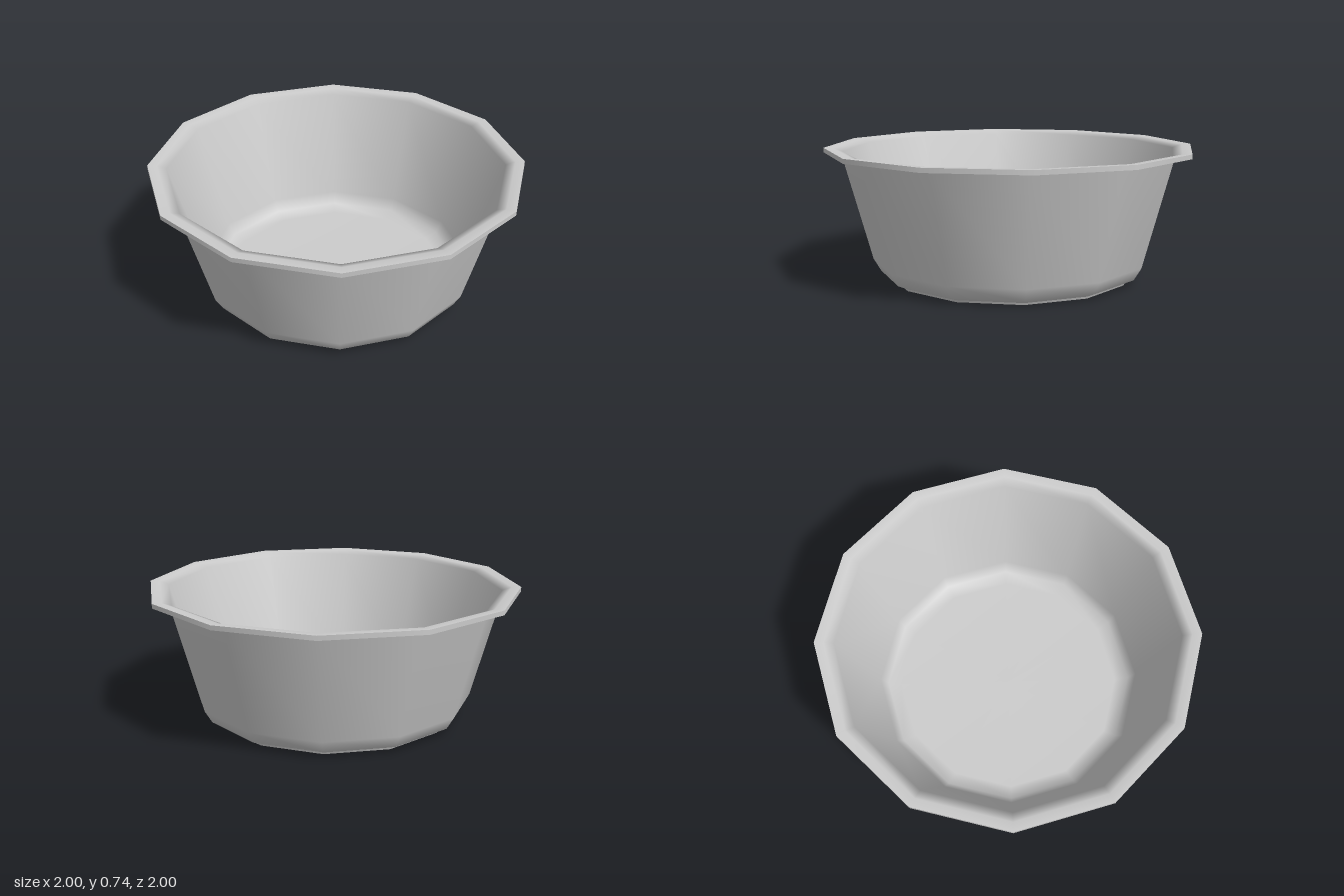
import * as THREE from 'three';

const SIDES = 12;
const FLAT = 1 / Math.cos(Math.PI / SIDES); // flat-side distance to corner radius

// Each strip is one smooth run of the profile; breaks between strips stay sharp.
function strip(name, points, material) {
  const profile = points.map(([r, y]) => new THREE.Vector2(r * FLAT, y));
  const geometry = new THREE.LatheGeometry(profile, SIDES, Math.PI / SIDES);
  const mesh = new THREE.Mesh(geometry, material);
  mesh.name = name;
  return mesh;
}

export function createModel() {
  const bowl = new THREE.Group();
  bowl.name = 'bowl';
  const material = new THREE.MeshStandardMaterial({ color: 0xcccccc, side: THREE.DoubleSide });

  // Flat base and the short foot around it
  bowl.add(strip('base', [[0, 0], [0.655, 0]], material));
  bowl.add(strip('foot', [[0.655, 0], [0.66, 0.012]], material));

  // Outer wall with rounded lower corner
  bowl.add(strip('outerWall', [
    [0.66, 0.012], [0.71, 0.035], [0.75, 0.105], [0.91, 0.712],
  ], material));

  // Projecting rim
  bowl.add(strip('rimUnderside', [[0.91, 0.712], [1, 0.712]], material));
  bowl.add(strip('rimEdge', [[1, 0.712], [1, 0.737]], material));

  // Rim top dipping into the inner wall, then the rounded floor
  bowl.add(strip('interior', [
    [1, 0.737], [0.95, 0.735], [0.9, 0.716], [0.73, 0.11],
    [0.692, 0.046], [0.62, 0.02], [0, 0.02],
  ], material));

  return bowl;
}
